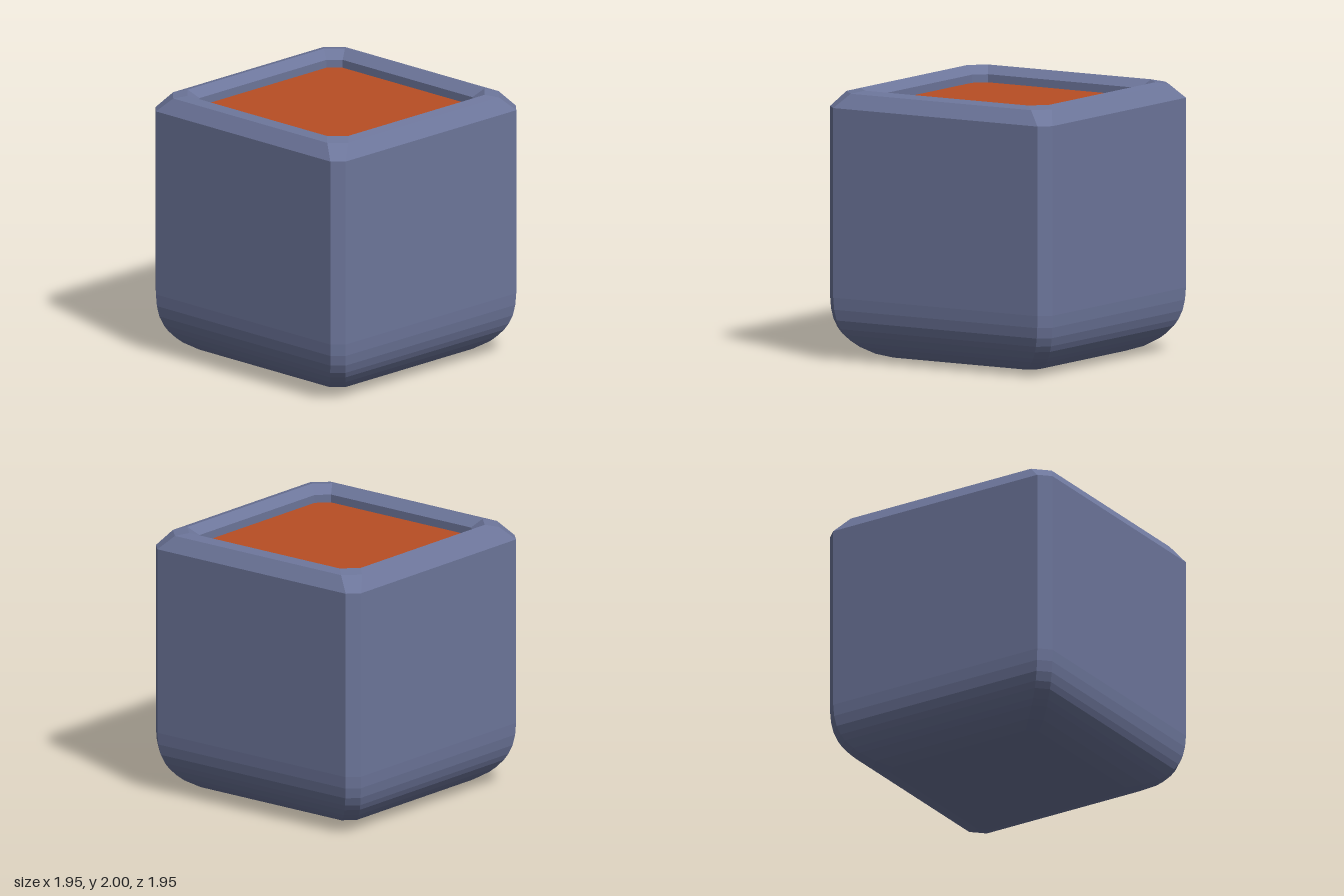
import * as THREE from 'three';

// Corners of a square with cut corners, as [x, z]
function cutSquare(half, cut) {
  const a = half - cut;
  return [[half, -a], [half, a], [a, half], [-a, half], [-half, a], [-half, -a], [-a, -half], [a, -half]];
}

// Skin a stack of cut squares given as [y, half width, corner cut]
function loft(rings) {
  const pos = [];
  for (let r = 0; r < rings.length - 1; r++) {
    const [y0, h0, c0] = rings[r], [y1, h1, c1] = rings[r + 1];
    const low = cutSquare(h0, c0), high = cutSquare(h1, c1);
    for (let i = 0; i < 8; i++) {
      const j = (i + 1) % 8;
      const a = [low[i][0], y0, low[i][1]], b = [low[j][0], y0, low[j][1]];
      const c = [high[j][0], y1, high[j][1]], d = [high[i][0], y1, high[i][1]];
      pos.push(...a, ...d, ...b, ...b, ...d, ...c);
    }
  }
  const geo = new THREE.BufferGeometry();
  geo.setAttribute('position', new THREE.Float32BufferAttribute(pos, 3));
  geo.computeVertexNormals();
  return geo;
}

// Flat cut square at height y, facing up (1) or down (-1)
function cap(y, half, cut, facing) {
  const shape = new THREE.Shape(cutSquare(half, cut).map(([x, z]) => new THREE.Vector2(x, z)));
  return new THREE.ShapeGeometry(shape).rotateX(-facing * Math.PI / 2).translate(0, y, 0);
}

export function createModel() {
  const group = new THREE.Group();
  const glaze = new THREE.MeshStandardMaterial({ name: 'slateBlue', color: 0x6d769b });
  const earth = new THREE.MeshStandardMaterial({ name: 'rustOrange', color: 0xb84e24 });
  const add = (name, geo, mat) => {
    const mesh = new THREE.Mesh(geo, mat);
    mesh.name = name;
    group.add(mesh);
  };

  // Rounded foot and straight walls
  add('potBody', loft([
    [0, 0.54, 0.06], [0.012, 0.65, 0.07], [0.045, 0.75, 0.08], [0.1, 0.835, 0.08],
    [0.135, 0.87, 0.08], [0.19, 0.912, 0.08], [0.235, 0.935, 0.08], [0.3, 0.957, 0.08],
    [0.38, 0.97, 0.08], [0.47, 0.975, 0.08], [1.875, 0.975, 0.08],
  ]), glaze);
  add('potBase', cap(0, 0.54, 0.06, -1), glaze);

  // Bevelled rim and the short wall inside it
  add('rim', loft([
    [1.875, 0.975, 0.08], [1.98, 0.9, 0.11], [2, 0.825, 0.11], [1.94, 0.75, 0.085], [1.88, 0.75, 0.085],
  ]), glaze);

  // Filling
  add('filling', cap(1.88, 0.75, 0.085, 1), earth);
  return group;
}
